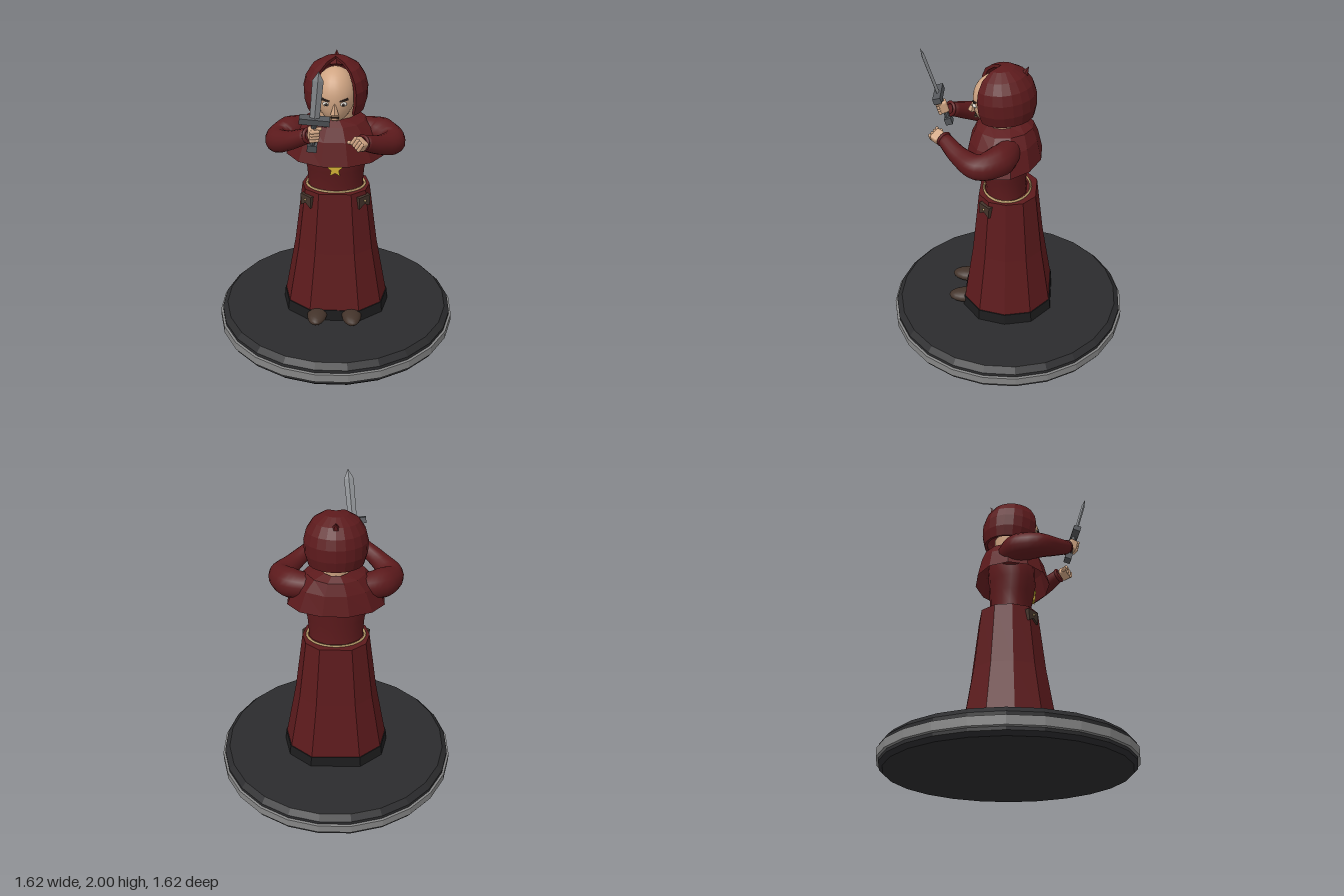
import * as THREE from 'three';
import { RoundedBoxGeometry } from 'three/addons/geometries/RoundedBoxGeometry.js';

const mat = (color, flatShading = false) =>
  new THREE.MeshStandardMaterial({ color, flatShading, side: THREE.DoubleSide });
const cloth = mat(0x5c1a1c), clothFlat = mat(0x5c1a1c, true), black = mat(0x1c1c1d, true);
const stone = mat(0x2b2b2d, true), rim = mat(0x858585, true), skin = mat(0xd0a583), skinFlat = mat(0xd0a583, true);
const leather = mat(0x43332a), rope = mat(0xb79a68), gold = mat(0xd2b035, true);
const steel = mat(0x909397, true), iron = mat(0x55585c, true), white = mat(0xd8d4cc), dark = mat(0x33251f);

function add(parent, name, geometry, material, pos = [0, 0, 0], rot = [0, 0, 0], scale = [1, 1, 1]) {
  const m = new THREE.Mesh(geometry, material);
  m.name = name;
  m.position.set(...pos);
  m.rotation.set(...rot);
  m.scale.set(...scale);
  parent.add(m);
  return m;
}

// Surface through rings of points, listed from bottom to top
function loft(rings) {
  const n = rings[0].length, index = [];
  for (let r = 0; r < rings.length - 1; r++) {
    for (let i = 0; i < n; i++) {
      const a = r * n + i, b = r * n + (i + 1) % n;
      index.push(a, b, a + n, b, b + n, a + n);
    }
  }
  const g = new THREE.BufferGeometry();
  g.setAttribute('position', new THREE.Float32BufferAttribute(rings.flat(2), 3));
  g.setIndex(index);
  g.computeVertexNormals();
  return g;
}

// Oval ring reaching from z = back to z = front, with separate heights at both ends
function oval(rx, front, back, yFront, yBack = yFront, n = 16) {
  return Array.from({ length: n }, (_, i) => {
    const a = (i + 0.5) / n * Math.PI * 2, c = Math.cos(a);
    return [rx * Math.sin(a), yBack + (yFront - yBack) * (c + 1) / 2, back + (front - back) * (c + 1) / 2];
  });
}

// Tube through [x, y, z, radius] stations
function taperedTube(stations, sides = 14, steps = 20) {
  const path = new THREE.CatmullRomCurve3(stations.map(s => new THREE.Vector3(s[0], s[1], s[2])));
  const frames = path.computeFrenetFrames(steps);
  const rings = [];
  for (let k = 0; k <= steps; k++) {
    const t = k / steps, u = t * (stations.length - 1), j = Math.min(Math.floor(u), stations.length - 2);
    const radius = THREE.MathUtils.lerp(stations[j][3], stations[j + 1][3], u - j);
    const center = path.getPoint(t), N = frames.normals[k], B = frames.binormals[k];
    rings.push(Array.from({ length: sides }, (_, i) => {
      const a = i / sides * Math.PI * 2;
      return center.clone().addScaledVector(N, radius * Math.cos(a)).addScaledVector(B, radius * Math.sin(a)).toArray();
    }));
  }
  const end = path.getPoint(1).toArray();
  rings.push(rings[0].map(() => end));
  return loft(rings);
}

function buildBase(root) {
  const disc = (name, profile, material) => add(root, name,
    new THREE.LatheGeometry(profile.map(p => new THREE.Vector2(...p)), 24), material, [0, 0, 0], [0, Math.PI / 24, 0]);
  disc('base', [[0, 0], [0.775, 0], [0.8, 0.025], [0.8, 0.13], [0.765, 0.165], [0, 0.165]], stone);
  disc('baseBand', [[0.8, 0.045], [0.815, 0.05], [0.815, 0.105], [0.8, 0.108]], rim);
}

function buildRobe(root) {
  // Ten-sided skirt section, mirrored about x = 0
  const half = [[0.17, 0.3], [0.32, 0.18], [0.362, 0], [0.32, -0.18], [0.17, -0.305]];
  const section = [...half, ...half.map(([x, z]) => [-x, z]).reverse()];
  const ring = (s, y) => section.map(([x, z]) => [x * s, y, z * s]);
  add(root, 'skirtHem', loft([ring(1.005, 0.165), ring(0.985, 0.24), ring(0.95, 0.24)]), black);
  add(root, 'skirt', loft([ring(0.97, 0.235), ring(0.765, 0.64), ring(0.615, 1.06), ring(0.4, 1.06)]), clothFlat);
  add(root, 'torso', loft([
    oval(0.182, 0.15, -0.125, 1.04), oval(0.182, 0.15, -0.12, 1.1), oval(0.19, 0.168, -0.125, 1.2),
    oval(0.215, 0.185, -0.13, 1.29), oval(0.22, 0.18, -0.14, 1.42), oval(0.1, 0.12, -0.09, 1.54)]), cloth);
  add(root, 'belt', new THREE.TorusGeometry(1, 0.045, 6, 32), rope, [0, 1.064, 0.005], [Math.PI / 2, 0, 0], [0.192, 0.155, 0.2]);
  add(root, 'capelet', loft([
    oval(0.325, 0.28, -0.225, 1.29, 1.33, 12), oval(0.265, 0.245, -0.195, 1.44, 1.46, 12),
    oval(0.19, 0.205, -0.165, 1.525, 1.535, 12), oval(0.1, 0.16, -0.12, 1.56, 1.565, 12)]), clothFlat);

  // Pouches with a notched flap
  const flap = new THREE.Shape([[-0.05, 0.04], [0.05, 0.04], [0.045, -0.04], [0, -0.015], [-0.045, -0.04]]
    .map(p => new THREE.Vector2(...p)));
  const flapGeo = new THREE.ExtrudeGeometry(flap, { depth: 0.03, bevelEnabled: false });
  for (const s of [1, -1]) {
    add(root, 'pouch', flapGeo, leather, [s * 0.172, 0.99, 0.122], [0, s * Math.PI / 4, 0]);
    add(root, 'pouchButton', new THREE.SphereGeometry(0.008, 8, 6), rope, [s * 0.196, 1.0, 0.146]);
    add(root, 'shoe', new THREE.SphereGeometry(1, 16, 12), leather, [s * 0.115, 0.207, 0.285], [0, s * 0.08, 0], [0.067, 0.043, 0.125]);
  }

  // Star pendant
  const star = new THREE.Shape(Array.from({ length: 10 }, (_, i) => {
    const a = i * Math.PI / 5, r = i % 2 ? 0.026 : 0.054;
    return new THREE.Vector2(r * Math.sin(a), r * Math.cos(a));
  }));
  add(root, 'starPendant', new THREE.ExtrudeGeometry(star, { depth: 0.012, bevelEnabled: false }), gold, [0, 1.235, 0.172]);
  add(root, 'pendantCord', new THREE.CylinderGeometry(0.004, 0.004, 0.08, 6), gold, [0, 1.3, 0.182]);
}

function buildHead(root) {
  const head = new THREE.Group();
  head.name = 'head';
  root.add(head);

  // Skull with a narrower jaw pushed forward
  const skull = new THREE.SphereGeometry(1, 24, 18), p = skull.attributes.position;
  for (let i = 0; i < p.count; i++) {
    const low = Math.max(0, -p.getY(i));
    p.setX(i, p.getX(i) * (1 - 0.12 * low));
    p.setZ(i, p.getZ(i) + 0.25 * low * low);
  }
  skull.computeVertexNormals();
  add(head, 'skull', skull, skin, [0, 1.71, 0.07], [0, 0, 0], [0.13, 0.168, 0.15]);
  add(head, 'neck', new THREE.CylinderGeometry(0.125, 0.11, 0.15, 16), skin, [0, 1.575, 0.03]);
  add(head, 'nose', new THREE.ConeGeometry(0.026, 0.085, 4), skinFlat, [0, 1.662, 0.22], [-0.2, 0, 0]);
  add(head, 'mouth', new THREE.BoxGeometry(0.05, 0.007, 0.02), dark, [0, 1.594, 0.2]);
  add(head, 'lowerLip', new THREE.SphereGeometry(1, 10, 8), skin, [0, 1.583, 0.202], [0, 0, 0], [0.024, 0.008, 0.014]);
  for (const s of [1, -1]) {
    add(head, 'eye', new THREE.SphereGeometry(0.019, 12, 10), white, [s * 0.052, 1.683, 0.2], [0, 0, 0], [1.2, 0.75, 1]);
    add(head, 'iris', new THREE.SphereGeometry(0.009, 10, 8), dark, [s * 0.052, 1.683, 0.215]);
    add(head, 'brow', new THREE.BoxGeometry(0.055, 0.01, 0.016), dark, [s * 0.055, 1.708, 0.204], [0, s * 0.25, s * 0.2]);
  }

  // Thick hood with a wedge-shaped opening over the face
  const hood = new THREE.Group();
  hood.name = 'hood';
  hood.position.set(0, 1.74, 0.025);
  hood.rotation.x = 0.08;
  root.add(hood);
  const profile = [[0.18, -0.14], [0.2, -0.07], [0.203, 0.01], [0.187, 0.075], [0.148, 0.137], [0.08, 0.18], [0, 0.195],
    [0, 0.178], [0.07, 0.162], [0.13, 0.125], [0.165, 0.065], [0.178, 0], [0.176, -0.07], [0.16, -0.135], [0.18, -0.14]]
    .map(q => new THREE.Vector2(...q));
  const gap = 0.7;
  add(hood, 'hoodShell', new THREE.LatheGeometry(profile, 16, gap, Math.PI * 2 - 2 * gap), clothFlat);
  const edge = new THREE.ShapeGeometry(new THREE.Shape(profile.slice(0, -1)));
  for (const s of [1, -1]) add(hood, 'hoodEdge', edge, clothFlat, [0, 0, 0], [0, s * gap - Math.PI / 2, 0]);
  add(hood, 'hoodTip', new THREE.ConeGeometry(0.046, 0.1, 5), clothFlat, [0, 0.135, -0.14], [-0.55, 0, 0]);
}

function buildFist(root, name, pos, rot, s) {
  const fist = new THREE.Group();
  fist.name = name;
  fist.position.set(...pos);
  fist.rotation.set(...rot);
  root.add(fist);
  add(fist, 'palm', new RoundedBoxGeometry(0.062, 0.082, 0.06, 2, 0.014), skinFlat);
  const finger = new THREE.CapsuleGeometry(0.0115, 0.04, 3, 8);
  for (let i = 0; i < 4; i++)
    add(fist, 'finger', finger, skin, [0, 0.032 - i * 0.021, 0.032], [0, 0, Math.PI / 2]);
  add(fist, 'thumb', new THREE.CapsuleGeometry(0.012, 0.035, 3, 8), skin, [-s * 0.024, 0.042, 0.018], [0.9, 0, s * 0.4]);
}

function buildArms(root) {
  for (const s of [1, -1]) {
    const lift = s < 0 ? 0.045 : 0, side = s > 0 ? 'left' : 'right';
    const wrist = [s * (s > 0 ? 0.175 : 0.145), 1.505 + lift, 0.385];
    add(root, side + 'Sleeve', taperedTube([
      [s * 0.17, 1.44, -0.02, 0.08], [s * 0.29, 1.435, 0.03, 0.098], [s * 0.36, 1.425, 0.155, 0.083],
      [s * 0.285, 1.45 + lift * 0.4, 0.275, 0.062], [...wrist, 0.046]]), cloth);
    add(root, side + 'Cuff', new THREE.TorusGeometry(0.042, 0.011, 8, 16), cloth, wrist, [-0.35, -s * 0.7, 0]);
  }
  buildFist(root, 'leftFist', [0.16, 1.515, 0.425], [-0.3, -0.6, 0.9], 1);
  buildFist(root, 'rightFist', [-0.118, 1.58, 0.428], [0.28, 0.3, -0.1], -1);
}

function buildDagger(root) {
  const dagger = new THREE.Group();
  dagger.name = 'dagger';
  dagger.position.set(-0.108, 1.67, 0.452);
  dagger.rotation.set(0.28, 0, -0.1);
  root.add(dagger);
  // Blade of diamond section, narrowing to a point
  const ring = (w, d, y) => [[0, y, d], [w, y, 0], [0, y, -d], [-w, y, 0]];
  add(dagger, 'blade', loft([ring(0.029, 0.011, 0), ring(0.032, 0.011, 0.28), ring(0, 0, 0.343)]), steel);
  add(dagger, 'guard', new THREE.BoxGeometry(0.18, 0.04, 0.05), iron);
  add(dagger, 'grip', new THREE.CylinderGeometry(0.017, 0.017, 0.17, 8), iron, [0, -0.1, 0]);
  add(dagger, 'pommel', new THREE.BoxGeometry(0.06, 0.048, 0.045), iron, [0, -0.2, 0]);
}

export function createModel() {
  const root = new THREE.Group();
  root.name = 'hoodedFigure';
  buildBase(root);
  buildRobe(root);
  buildHead(root);
  buildArms(root);
  buildDagger(root);
  return root;
}
